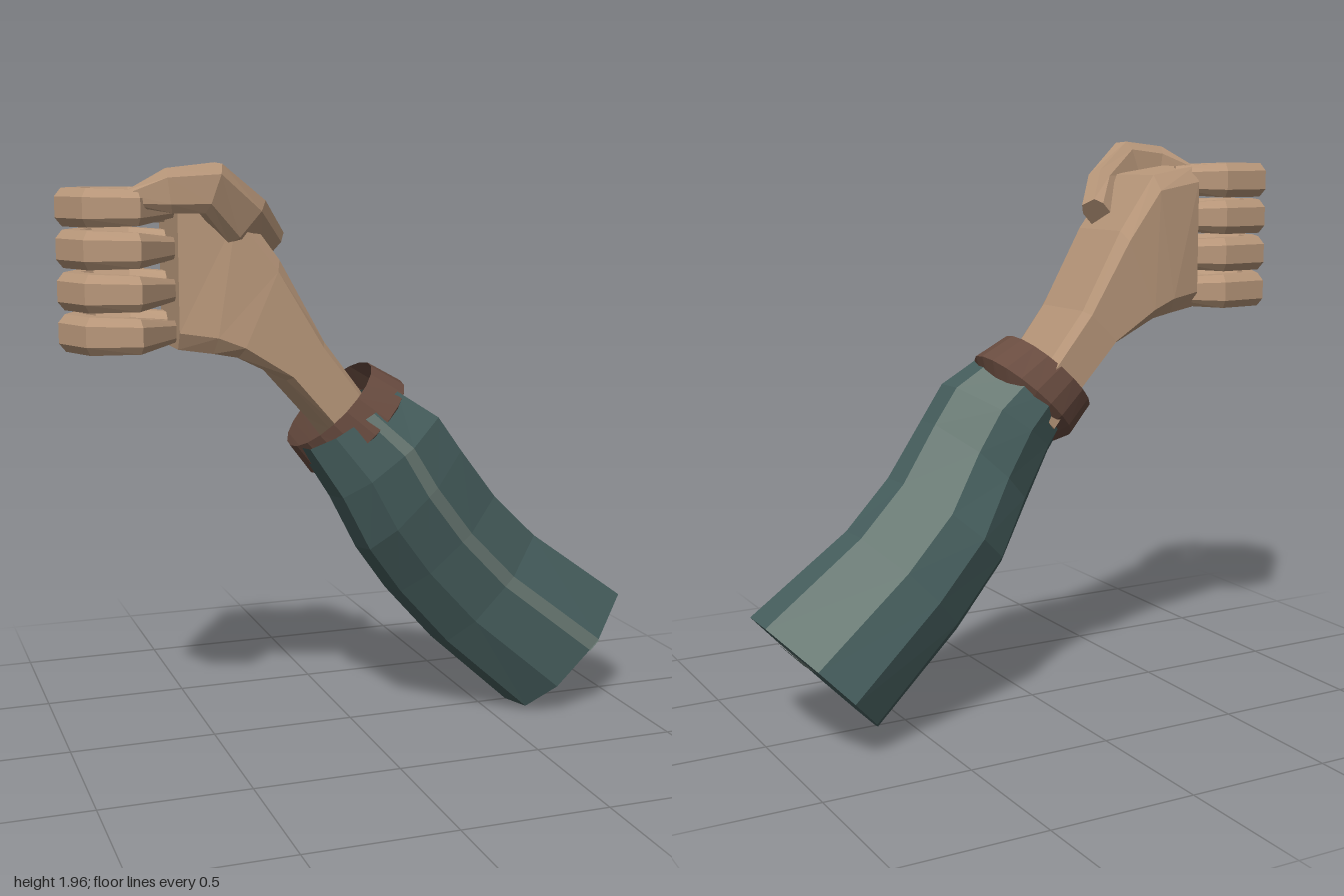
import * as THREE from 'three';

const V = (x, y, z) => new THREE.Vector3(x, y, z);

const material = (name, color, side = THREE.FrontSide) => {
  const m = new THREE.MeshStandardMaterial({ color, side });
  m.name = name;
  return m;
};

// Joins rings of points into a faceted skin; segments listed in `accents` use the second material.
function loft(rings, { capStart = true, capEnd = true, accents = [] } = {}) {
  const n = rings[0].length, main = [], accent = [];
  for (let r = 0; r < rings.length - 1; r++) {
    for (let i = 0; i < n; i++) {
      const j = (i + 1) % n, p = rings[r], q = rings[r + 1];
      const list = accents.includes(i) ? accent : main;
      list.push([p[i], p[j], q[j]], [p[i], q[j], q[i]]);
    }
  }
  const cap = (ring, flip) => {
    const c = ring.reduce((s, p) => s.add(p), V(0, 0, 0)).divideScalar(n);
    ring.forEach((p, i) => {
      const next = ring[(i + 1) % n];
      main.push(flip ? [c, next, p] : [c, p, next]);
    });
  };
  if (capStart) cap(rings[0], true);
  if (capEnd) cap(rings[rings.length - 1], false);

  // Turn every face outward
  const tris = [...main, ...accent];
  const o = rings[0][0];
  const volume = tris.reduce((s, [a, b, c]) => s +
    a.clone().sub(o).dot(b.clone().sub(o).cross(c.clone().sub(o))), 0);
  if (volume < 0) tris.forEach(t => t.reverse());
  const g = new THREE.BufferGeometry().setFromPoints(tris.flat());
  g.addGroup(0, main.length * 3, 0);
  if (accent.length) g.addGroup(main.length * 3, accent.length * 3, 1);
  g.computeVertexNormals();
  return g;
}

// Bevelled rectangular ring around a centre; k is the bevel as a share of each half width
function bevelRing(c, X, Y, k) {
  const m = 1 - k;
  return [[1, -m], [1, m], [m, 1], [-m, 1], [-1, m], [-1, -m], [-m, -1], [m, -1]]
    .map(([a, b]) => c.clone().addScaledVector(X, a).addScaledVector(Y, b));
}

// Bevelled tube along a path; `across` is the fixed direction of the second half width
function digit(path, halfA, halfB, across, k) {
  return loft(path.map((p, i) => {
    const t = path[Math.min(i + 1, path.length - 1)].clone()
      .sub(path[Math.max(i - 1, 0)]).normalize();
    const side = across.clone().cross(t).normalize();
    const up = t.clone().cross(side);
    return bevelRing(p, side.multiplyScalar(halfA[i]), up.multiplyScalar(halfB[i]), k);
  }));
}

// Point on an arm section [lowX, lowY, highX, highY, zBack, zFront]
const onSection = ([lx, ly, hx, hy, z0, z1], u, zn) =>
  V(lx + (hx - lx) * u, ly + (hy - ly) * u, (z0 + z1) / 2 + (z1 - z0) / 2 * zn);

export function createModel() {
  const group = new THREE.Group();
  group.name = 'forearmWithHand';
  const skin = material('skin', 0xb8977a);
  const cloth = material('sleeveCloth', 0x465e5d);
  const greyCloth = material('greyCloth', 0x6a7a74, THREE.DoubleSide);
  const leather = material('cuffBrown', 0x694c40, THREE.DoubleSide);
  const add = (name, geometry, mat) => {
    const mesh = new THREE.Mesh(geometry, mat);
    mesh.name = name;
    group.add(mesh);
  };

  // Sleeve: one angular outline swept through sections from elbow to wrist
  const outline = [[.98, .67], [1, .05], [.79, -.85], [.52, -1], [.26, -.75], [.12, -.31],
    [0, .16], [.04, .67], [.26, .96], [.57, 1], [.66, 1]];
  const sections = [
    [.61, 0, 1, .41, -.32, .23],
    [.30, .28, .65, .66, -.25, .22],
    [.11, .49, .48, .82, -.22, .25],
    [-.02, .66, .33, 1.0, -.13, .29],
    [-.12, .85, .24, 1.12, -.12, .305],
    [-.225, 1.02, .1, 1.21, -.1, .27],
  ];
  add('sleeve', loft(sections.map(s => outline.map(([u, zn]) => onSection(s, u, zn))),
    { capEnd: false, accents: [1, 9] }), [cloth, greyCloth]);

  // Grey band across the elbow end
  const band = new THREE.ShapeGeometry(new THREE.Shape(
    [[.57, 1], [.5, .67], [.79, -.85], [1, .05], [.74, 0], [.65, .25], [.66, 1]]
      .map(([u, zn]) => new THREE.Vector2(u, zn))));
  const pos = band.attributes.position;
  for (let i = 0; i < pos.count; i++) {
    const p = onSection(sections[0], pos.getX(i), pos.getY(i));
    pos.setXYZ(i, p.x + .003, p.y - .003, p.z);
  }
  // Corner order follows the end face, which looks down and outward
  const order = band.index.array;
  const [a, b, c] = [0, 1, 2].map(i => V().fromBufferAttribute(pos, order[i]));
  if (b.sub(a).cross(c.sub(a)).x < 0) order.reverse();
  band.computeVertexNormals();
  add('elbowBand', band, greyCloth);

  // Cuff: open oval cup at the wrist
  const oval = Array.from({ length: 20 }, (_, i) => {
    const t = i / 20 * Math.PI * 2;
    return [.5 + .5 * Math.cos(t), Math.sin(t)];
  });
  add('cuff', loft([
    [-.08, .9, .12, 1.1, -.06, .22],
    [-.17, .925, .15, 1.225, -.115, .285],
    [-.24, 1.02, .035, 1.29, -.11, .26],
  ].map(s => oval.map(([u, zn]) => onSection(s, u, zn))), { capEnd: false }), leather);

  // Palm: flat at the wrist, broad at the knuckles
  add('palm', loft([
    [-.05, .97, .06, 1.08, -.09, .23],
    [-.14, 1.09, -.04, 1.22, -.1, .24],
    [-.29, 1.26, -.16, 1.38, -.11, .24],
    [-.45, 1.34, -.31, 1.65, -.11, .24],
    [-.53, 1.355, -.45, 1.84, -.1, .23],
    [-.64, 1.37, -.64, 1.87, -.07, .2],
  ].map(([lx, ly, hx, hy, z0, z1]) => bevelRing(
    V((lx + hx) / 2, (ly + hy) / 2, (z0 + z1) / 2),
    V((hx - lx) / 2, (hy - ly) / 2, 0), V(0, 0, (z1 - z0) / 2), .22))), skin);

  // Four curled fingers
  const curl = [[-.59, .01], [-.74, -.075], [-.885, -.06], [-.952, .065],
    [-.905, .18], [-.78, .235], [-.65, .13]];
  [1.82, 1.69, 1.557, 1.425].forEach((y, i) => {
    add('finger' + (i + 1), digit(curl.map(([x, z]) => V(x, y, z)),
      [.04, .045, .048, .048, .048, .043, .025],
      [.05, .06, .06, .06, .06, .055, .035], V(0, 1, 0), .45), skin);
  });

  // Thumb bent over the fingers
  add('thumb', digit([V(-.335, 1.69, .1), V(-.43, 1.78, .2), V(-.55, 1.88, .262),
    V(-.68, 1.872, .262), V(-.795, 1.85, .22)],
  [.075, .09, .08, .068, .025], [.045, .045, .046, .044, .03], V(0, 0, 1), .4), skin);

  return group;
}
